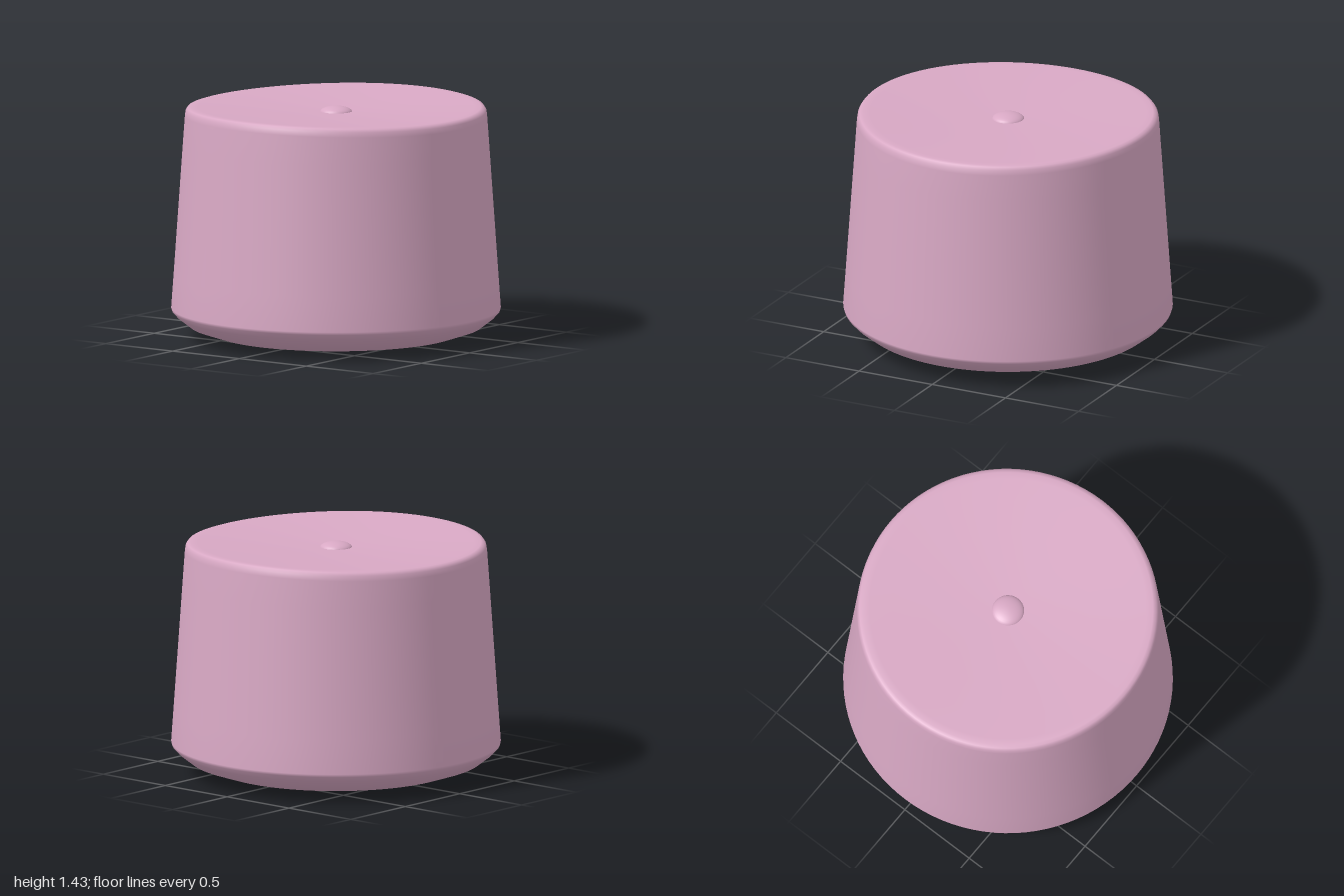
import * as THREE from 'three';
import { mergeVertices } from 'three/addons/utils/BufferGeometryUtils.js';

const fabric = new THREE.MeshStandardMaterial({ color: 0xd8a8c4 });

// Revolve a profile (bottom to top), optionally lift vertices, and smooth across the seam.
function revolve(profile, segments, lift) {
  const geo = new THREE.LatheGeometry(profile.map(([r, y]) => new THREE.Vector2(r, y)), segments);
  geo.deleteAttribute('uv');
  geo.deleteAttribute('normal');
  const pos = geo.attributes.position;
  if (lift) {
    for (let i = 0; i < pos.count; i++) {
      const x = pos.getX(i), y = pos.getY(i), z = pos.getZ(i);
      pos.setY(i, y + lift(x, y, z));
    }
  }
  const merged = mergeVertices(geo, 1e-5);
  merged.computeVertexNormals();
  return merged;
}

function addPart(group, name, geometry) {
  const mesh = new THREE.Mesh(geometry, fabric);
  mesh.name = name;
  group.add(mesh);
}

export function createModel() {
  const group = new THREE.Group();
  group.name = 'pouf';

  // Tapered body: rounded underside, straight side, soft rim and dished seat
  const body = [
    [0, 0], [0.25, 0.003], [0.5, 0.009], [0.75, 0.035], [0.89, 0.082], [0.965, 0.14],
    [0.995, 0.172], [1, 0.19], [0.985, 0.4], [0.957, 0.8], [0.929, 1.2], [0.917, 1.37],
    [0.912, 1.402], [0.9, 1.419], [0.88, 1.425], [0.84, 1.423],
    [0.7, 1.416], [0.5, 1.406], [0.3, 1.398], [0.12, 1.393], [0, 1.392],
  ];
  // The seat is raised slightly at the left and right, lowered at front and back
  const saddle = (x, y, z) => (y > 1.3 ? 0.01 * (x * x - z * z) / 0.81 : 0);
  addPart(group, 'seatBody', revolve(body, 96, saddle));

  // Low domed button in the middle of the seat
  const dome = [];
  for (let i = 0; i <= 8; i++) {
    const a = (i / 8) * Math.PI / 2;
    dome.push([i === 8 ? 0 : 0.1 * Math.cos(a), 1.385 + 0.04 * Math.sin(a)]);
  }
  addPart(group, 'button', revolve(dome, 32));

  return group;
}
